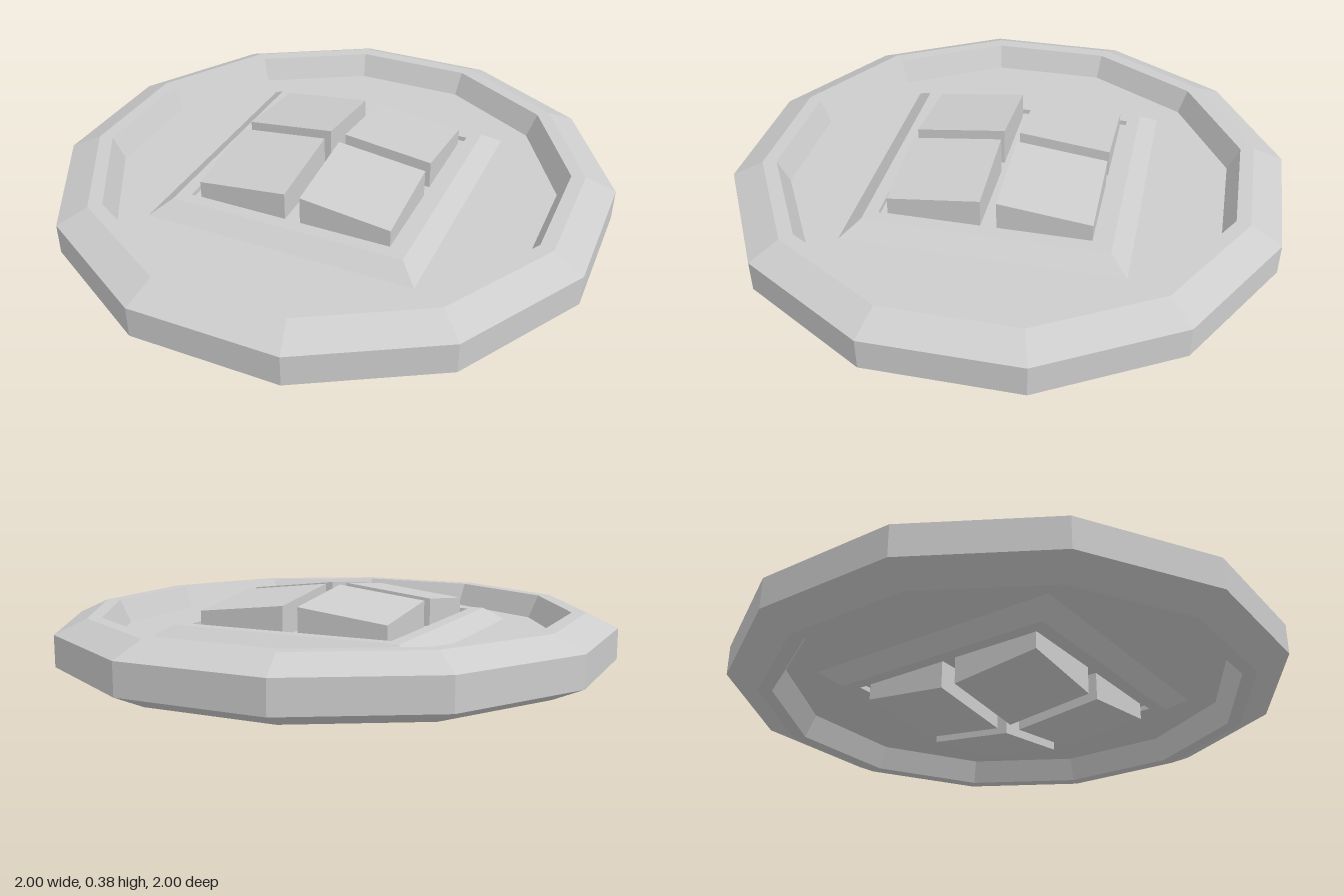
import * as THREE from 'three';

export function createModel() {
  const model = new THREE.Group();
  model.name = 'coin';
  const metal = new THREE.MeshStandardMaterial({ color: 0xcccccc, flatShading: true });
  metal.name = 'pale grey metal';
  const midY = 0.188;

  // Turns the upper half of a profile, mirrored below, into a faceted solid
  function mirroredLathe(name, upper, sides) {
    const points = [
      ...upper.map(([r, y]) => new THREE.Vector2(r, -y)).reverse(),
      ...upper.map(([r, y]) => new THREE.Vector2(r, y)),
    ];
    const mesh = new THREE.Mesh(new THREE.LatheGeometry(points, sides), metal);
    mesh.name = name;
    mesh.position.y = midY;
    model.add(mesh);
  }

  // Twelve-sided disc with a raised, bevelled rim on both faces
  mirroredLathe('disc', [[1, 0.055], [0.89, 0.105], [0.84, 0.105], [0.8, 0.02], [0, 0.02]], 12);

  // Bevelled diamond frame with a shallow recess on both faces
  mirroredLathe('diamondFrame', [[0.69, 0.02], [0.6, 0.068], [0.535, 0.068], [0.535, 0.05], [0, 0.05]], 4);

  // Four tiles through the disc, sloping away from the centre
  const inner = 0.028, outer = 0.354;
  const size = outer - inner, centre = (outer + inner) / 2;
  const tiles = new THREE.Group();
  tiles.name = 'tiles';
  tiles.position.y = midY;
  tiles.rotation.y = Math.PI / 4;
  for (const sx of [-1, 1]) {
    for (const sz of [-1, 1]) {
      const geometry = new THREE.BoxGeometry(size, 1, size);
      geometry.translate(sx * centre, 0, sz * centre);
      const p = geometry.attributes.position;
      for (let i = 0; i < p.count; i++) {
        const spread = Math.abs(p.getX(i)) + Math.abs(p.getZ(i)) - 2 * inner;
        p.setY(i, Math.sign(p.getY(i)) * (0.188 - 0.1166 * spread));
      }
      geometry.computeVertexNormals();
      const tile = new THREE.Mesh(geometry, metal);
      tile.name = 'tile';
      tiles.add(tile);
    }
  }
  model.add(tiles);

  return model;
}
